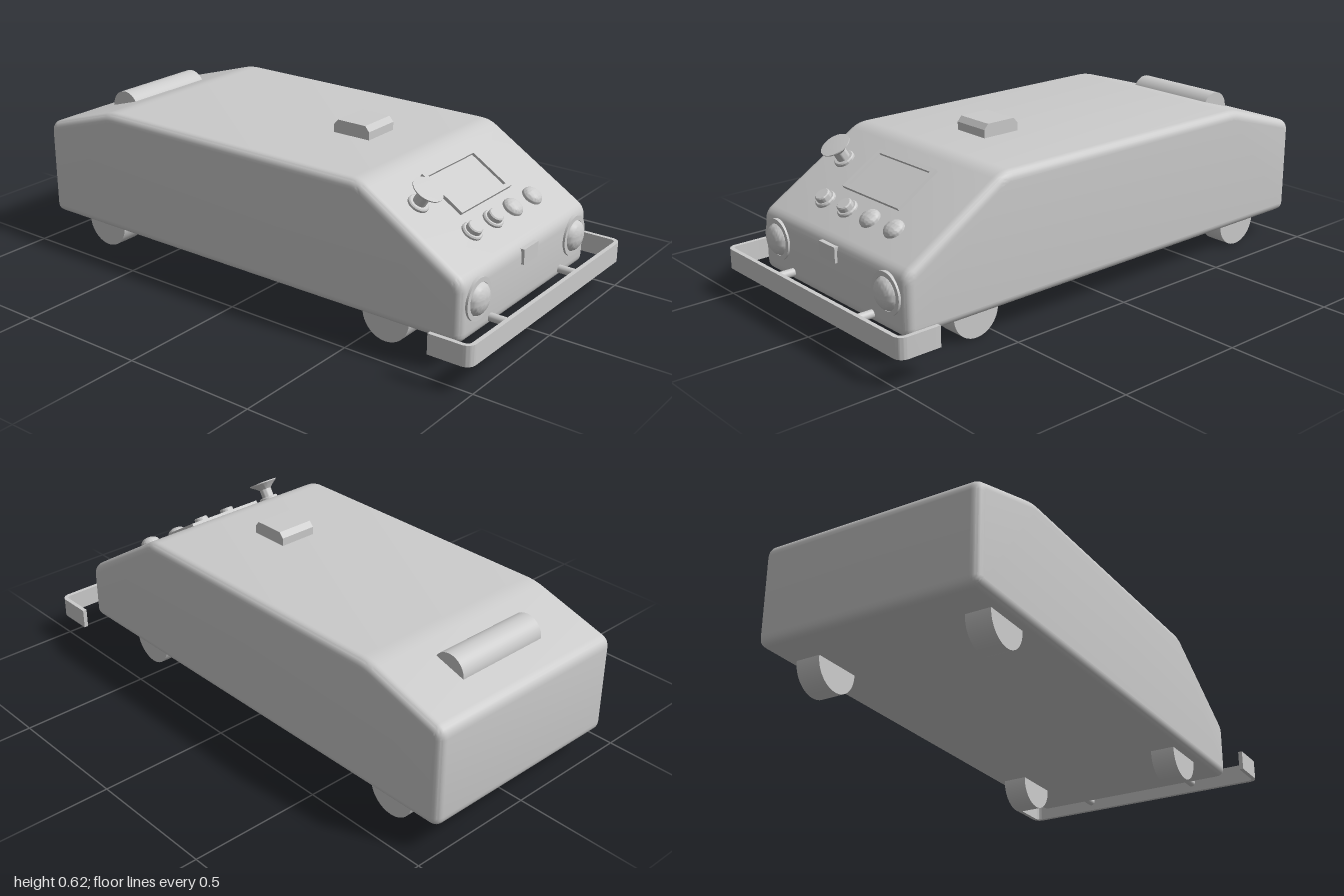
import * as THREE from 'three';
import { toCreasedNormals } from 'three/addons/utils/BufferGeometryUtils.js';

const material = new THREE.MeshStandardMaterial({ color: 0xcccccc });

function add(parent, name, geometry, x = 0, y = 0, z = 0) {
  const mesh = new THREE.Mesh(geometry, material);
  mesh.name = name;
  mesh.position.set(x, y, z);
  parent.add(mesh);
  return mesh;
}

// Closed polygon with every corner rounded by distance r
function roundedShape(points, r) {
  const p = points.map(([x, y]) => new THREE.Vector2(x, y));
  const shape = new THREE.Shape();
  p.forEach((c, i) => {
    const towards = (q) => q.clone().sub(c).setLength(r).add(c);
    const a = towards(p[(i + p.length - 1) % p.length]);
    const b = towards(p[(i + 1) % p.length]);
    if (i === 0) shape.moveTo(a.x, a.y);
    else shape.lineTo(a.x, a.y);
    shape.quadraticCurveTo(c.x, c.y, b.x, b.y);
  });
  shape.closePath();
  return shape;
}

function rect(w, h, Type = THREE.Shape) {
  return new Type([[-w, -h], [w, -h], [w, h], [-w, h]].map(([x, y]) => new THREE.Vector2(x / 2, y / 2)));
}

function lathe(points) {
  const profile = points.map(([x, y]) => new THREE.Vector2(x, y));
  return toCreasedNormals(new THREE.LatheGeometry(profile, 40), 0.6);
}

// Quarter-ellipse profile points for a dome, from rim to pole
function dome(radius, height, base = 0) {
  return Array.from({ length: 11 }, (_, i) => {
    const t = (i / 10) * Math.PI / 2;
    return [i === 10 ? 0 : radius * Math.cos(t), base + height * Math.sin(t)];
  });
}

export function createModel() {
  const model = new THREE.Group();
  model.name = 'vehicle';

  // Wedge-ended body with rounded long edges
  const bevel = 0.033;
  const half = 0.427;
  const profile = roundedShape(
    [[-1, 0.1], [0.9, 0.1], [0.9, 0.318], [0.49, 0.572], [-0.665, 0.572], [-1, 0.47]], 0.035);
  const bodyGeometry = new THREE.ExtrudeGeometry(profile, {
    depth: 2 * (half - bevel), curveSegments: 5,
    bevelThickness: bevel, bevelSize: bevel, bevelOffset: -bevel, bevelSegments: 6,
  });
  bodyGeometry.translate(0, 0, bevel - half);
  add(model, 'body', toCreasedNormals(bodyGeometry, 0.5));

  // Wheels
  for (const x of [-0.755, 0.58]) {
    for (const side of [-1, 1]) {
      const wheel = add(model, 'wheel', new THREE.CylinderGeometry(0.095, 0.095, 0.095, 48), x, 0.095, side * 0.332);
      wheel.rotation.x = Math.PI / 2;
    }
  }

  // Half-sunk roller on the rear slope
  const roller = add(model, 'rearRoller', new THREE.CylinderGeometry(0.065, 0.065, 0.385, 48), -0.812, 0.51, 0);
  roller.rotation.x = Math.PI / 2;

  // Roof block with chamfered front and rear top edges
  const blockShape = new THREE.Shape([
    [-0.077, 0], [0.077, 0], [0.077, 0.035], [0.06, 0.055], [-0.06, 0.055], [-0.077, 0.035],
  ].map(([x, y]) => new THREE.Vector2(x, y)));
  const blockGeometry = new THREE.ExtrudeGeometry(blockShape, { depth: 0.15, bevelEnabled: false });
  add(model, 'roofBlock', blockGeometry, 0.208, 0.567, -0.075);

  // Control panel: local x runs down the slope, local y points out of it
  const panel = new THREE.Group();
  panel.name = 'controlPanel';
  panel.position.set(0.645, 0.476, 0);
  panel.rotation.z = -Math.atan2(0.254, 0.41);
  model.add(panel);

  // Screen frame and its display
  const frame = rect(0.192, 0.324);
  frame.holes.push(rect(0.158, 0.29, THREE.Path));
  const frameGeometry = new THREE.ExtrudeGeometry(frame, { depth: 0.016, bevelEnabled: false });
  frameGeometry.rotateX(-Math.PI / 2);
  add(panel, 'screenFrame', frameGeometry, -0.002, -0.004, 0);
  add(panel, 'screen', new THREE.BoxGeometry(0.16, 0.004, 0.292), -0.002, 0, 0);

  // Two domed lamps and two push buttons
  const row = 0.164;
  for (const z of [-0.215, -0.08]) {
    add(panel, 'lamp', lathe([[0.038, -0.01], ...dome(0.038, 0.024, 0.004)]), row, 0, z);
  }
  for (const z of [0.052, 0.186]) {
    add(panel, 'pushButton', lathe([
      [0.038, -0.01], [0.038, 0.007], [0.034, 0.012], [0.028, 0.012], [0.028, 0.028], [0.024, 0.032], [0, 0.032],
    ]), row, 0, z);
  }

  // Mushroom-headed stop button
  add(panel, 'stopButton', lathe([
    [0.038, -0.01], [0.038, 0.008], [0.034, 0.012], [0.024, 0.012], [0.024, 0.045],
    [0.036, 0.056], [0.056, 0.07], [0.056, 0.074], [0, 0.077],
  ]), -0.012, 0, 0.285);

  // Headlights: flat bezel with a bulging lens
  for (const side of [-1, 1]) {
    const headlight = new THREE.Group();
    headlight.name = 'headlight';
    headlight.position.set(0.9, 0.235, side * 0.325);
    headlight.rotation.z = -Math.PI / 2;
    model.add(headlight);
    add(headlight, 'bezel', lathe([[0.075, -0.01], [0.075, 0.008], [0.058, 0.008], [0.058, 0]]));
    add(headlight, 'lens', lathe(dome(0.058, 0.034, 0)));
  }

  // Small plate on the nose
  add(model, 'nosePlate', new THREE.BoxGeometry(0.02, 0.056, 0.094), 0.9, 0.283, 0);

  // Wraparound bumper: a U-shaped band drawn in plan, then stood up
  const outer = 0.524, t = 0.016, r = 0.035;
  const band = new THREE.Shape();
  band.moveTo(0.84, -outer);
  band.lineTo(1 - r, -outer);
  band.absarc(1 - r, -outer + r, r, -Math.PI / 2, 0, false);
  band.absarc(1 - r, outer - r, r, 0, Math.PI / 2, false);
  band.lineTo(0.84, outer);
  band.lineTo(0.84, outer - t);
  band.absarc(1 - r, outer - r, r - t, Math.PI / 2, 0, true);
  band.absarc(1 - r, -outer + r, r - t, 0, -Math.PI / 2, true);
  band.lineTo(0.84, -outer + t);
  band.closePath();
  const bumperGeometry = new THREE.ExtrudeGeometry(band, { depth: 0.075, bevelEnabled: false });
  bumperGeometry.rotateX(-Math.PI / 2);
  add(model, 'bumper', toCreasedNormals(bumperGeometry, 0.6), 0, 0.098, 0);

  // Rods holding the bumper
  for (const side of [-1, 1]) {
    const rod = add(model, 'bumperRod', new THREE.CylinderGeometry(0.015, 0.015, 0.12, 24), 0.93, 0.135, side * 0.238);
    rod.rotation.z = Math.PI / 2;
  }

  return model;
}
